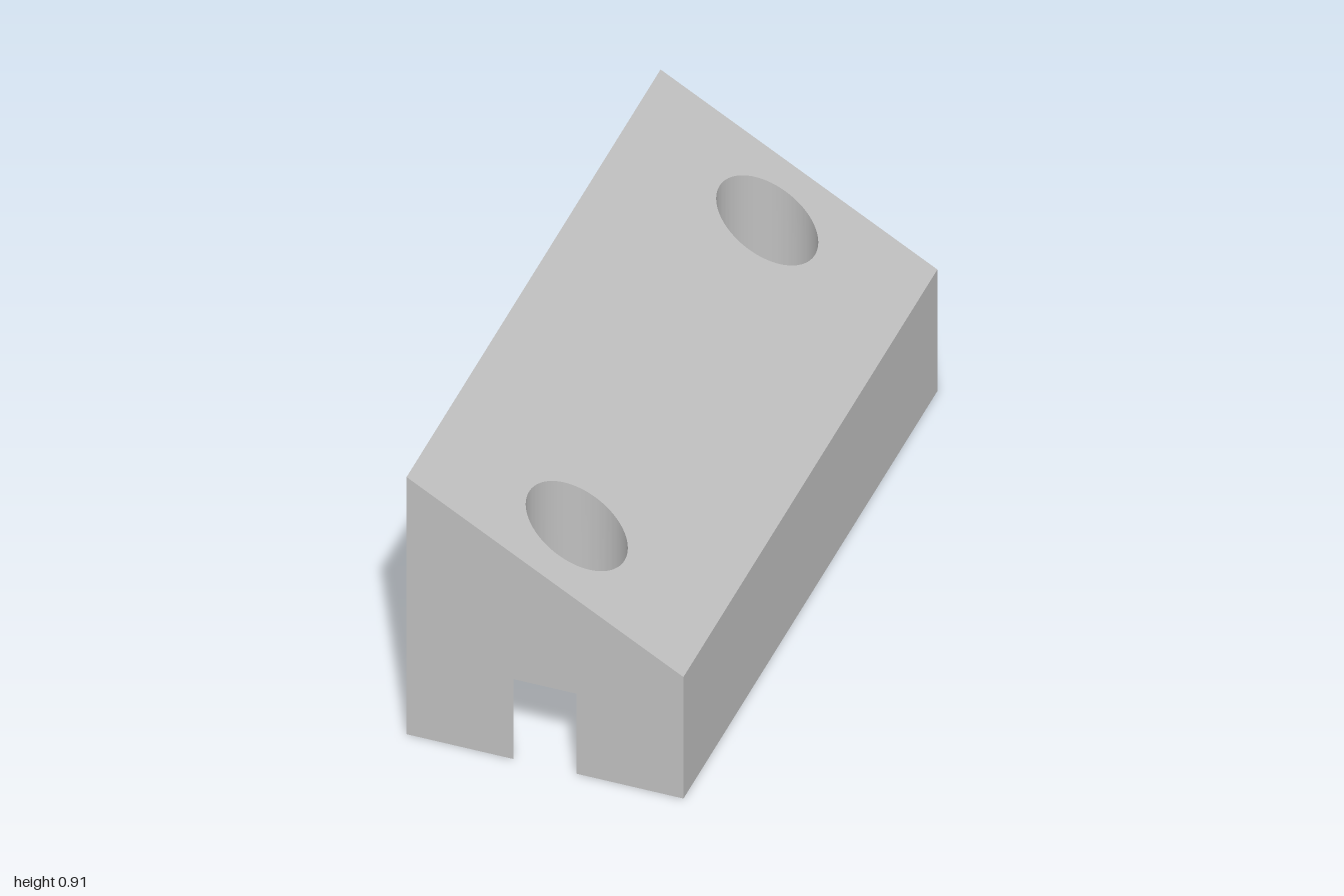
import * as THREE from 'three';
import { toCreasedNormals } from 'three/addons/utils/BufferGeometryUtils.js';

const HALF_W = 0.415, HALF_L = 1;          // block footprint
const LOW = 0.43, HIGH = 0.91;             // heights of the two long sides
const LEDGE = 0.283;                       // depth of the counterbores
const HOLE_Z = 0.75, HOLE_R = 0.143, BORE_R = 0.267;
const END = HALF_L - HOLE_Z;               // bore centre to block end
const NOTCH = Math.sqrt(BORE_R ** 2 - END ** 2); // half width of the end opening
const SEGMENTS = 64;

// Extrude a plan upwards by 1 and leave out the cap inside the solid at height skipY
function extrudePlan(shape, skipY) {
  const geo = new THREE.ExtrudeGeometry(shape, { depth: 1, bevelEnabled: false, curveSegments: SEGMENTS });
  geo.rotateX(-Math.PI / 2);
  const p = geo.attributes.position;
  const kept = [];
  for (let i = 0; i < p.count; i += 3) {
    const inner = [0, 1, 2].every(k => Math.abs(p.getY(i + k) - skipY) < 1e-4);
    if (inner) continue;
    for (let k = 0; k < 3; k++) kept.push(p.getX(i + k), p.getY(i + k), p.getZ(i + k));
  }
  const out = new THREE.BufferGeometry();
  out.setAttribute('position', new THREE.Float32BufferAttribute(kept, 3));
  return out;
}

// Move every vertex to a new height
function setHeights(geo, rule) {
  const p = geo.attributes.position;
  for (let i = 0; i < p.count; i++) p.setY(i, rule(p.getX(i), p.getY(i)));
  return toCreasedNormals(geo, 0.45);
}

function circlePath(z) {
  return new THREE.Path().absarc(0, z, HOLE_R, 0, Math.PI * 2, true);
}

export function createModel() {
  const group = new THREE.Group();
  group.name = 'wedgeBlock';
  const grey = new THREE.MeshStandardMaterial({ color: 0xbfbfbf });
  grey.name = 'grey';
  const add = (name, geo) => {
    const mesh = new THREE.Mesh(geo, grey);
    mesh.name = name;
    group.add(mesh);
  };

  // Base: counterbores that break out through both ends
  const base = new THREE.Shape();
  base.moveTo(-HALF_W, -HALF_L);
  base.lineTo(-NOTCH, -HALF_L);
  base.absarc(0, -HOLE_Z, BORE_R, Math.atan2(-END, -NOTCH), Math.atan2(-END, NOTCH), true);
  base.lineTo(HALF_W, -HALF_L);
  base.lineTo(HALF_W, HALF_L);
  base.lineTo(NOTCH, HALF_L);
  base.absarc(0, HOLE_Z, BORE_R, Math.atan2(END, NOTCH), Math.atan2(END, -NOTCH), true);
  base.lineTo(-HALF_W, HALF_L);
  base.closePath();
  add('counterboredBase', setHeights(extrudePlan(base, 1), (x, y) => y * LEDGE));

  // Sloped upper body with two through holes
  const top = new THREE.Shape();
  top.moveTo(-HALF_W, -HALF_L);
  top.lineTo(HALF_W, -HALF_L);
  top.lineTo(HALF_W, HALF_L);
  top.lineTo(-HALF_W, HALF_L);
  top.closePath();
  top.holes.push(circlePath(-HOLE_Z), circlePath(HOLE_Z));
  const slope = x => THREE.MathUtils.mapLinear(x, -HALF_W, HALF_W, HIGH, LOW);
  add('slopedBody', setHeights(extrudePlan(top, 0), (x, y) => (y > 0.5 ? slope(x) : LEDGE)));

  // Downward ledges between each counterbore and its through hole
  for (const side of [-1, 1]) {
    const ledge = new THREE.Shape();
    ledge.absarc(0, side * HOLE_Z, BORE_R,
      Math.atan2(side * END, -side * NOTCH), Math.atan2(side * END, side * NOTCH), false);
    ledge.closePath();
    ledge.holes.push(circlePath(side * HOLE_Z));
    const geo = new THREE.ShapeGeometry(ledge, SEGMENTS);
    geo.rotateX(Math.PI / 2);
    geo.translate(0, LEDGE, 0);
    add(side > 0 ? 'frontLedge' : 'backLedge', geo);
  }
  return group;
}
